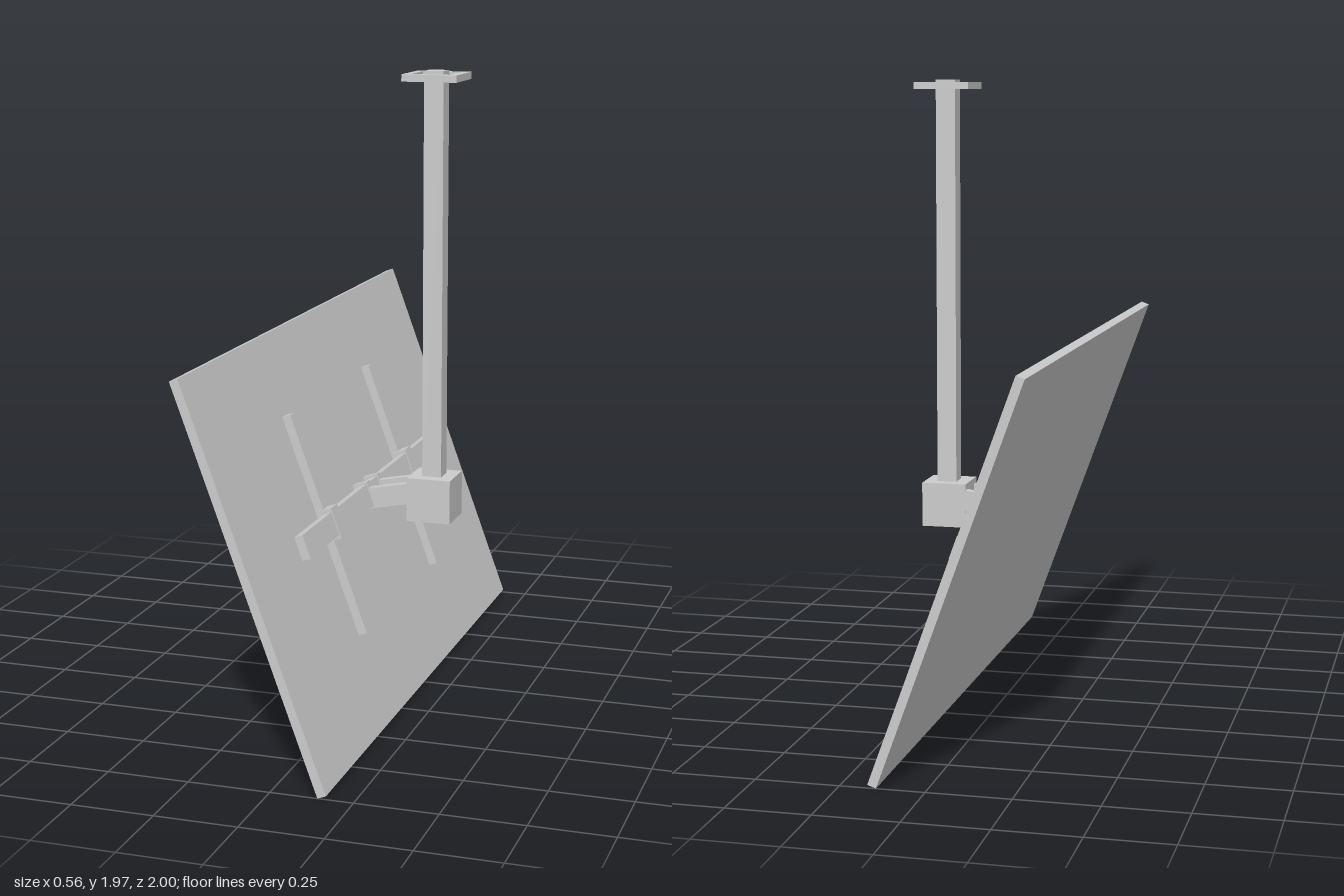
import * as THREE from 'three';

const material = new THREE.MeshStandardMaterial({ color: 0xcccccc, flatShading: true });
const TILT = THREE.MathUtils.degToRad(20);

// Box given by its [min, max] extent on each axis
function block(parent, name, [x0, x1], [y0, y1], [z0, z1]) {
  const mesh = new THREE.Mesh(new THREE.BoxGeometry(x1 - x0, y1 - y0, z1 - z0), material);
  mesh.position.set((x0 + x1) / 2, (y0 + y1) / 2, (z0 + z1) / 2);
  mesh.name = name;
  parent.add(mesh);
  return mesh;
}

const around = (centre, size) => [centre - size / 2, centre + size / 2];

export function createModel() {
  const model = new THREE.Group();
  model.name = 'ceilingScreenMount';

  // Ceiling pole and the joint box at its foot
  const poleX = 0.191;
  block(model, 'pole', around(poleX, 0.062), [0.65, 1.97], [-0.031, 0.031]);
  block(model, 'jointBox', around(poleX, 0.142), [0.558, 0.698], [-0.071, 0.071]);

  // Ceiling plate: thin base with a raised rim around a shallow recess
  block(model, 'ceilingPlate', around(poleX, 0.173), [1.94, 1.951], [-0.0865, 0.0865]);
  const square = (path, h) => path.moveTo(-h, -h).lineTo(h, -h).lineTo(h, h).lineTo(-h, h).closePath();
  const rimShape = square(new THREE.Shape(), 0.0865);
  rimShape.holes.push(square(new THREE.Path(), 0.062));
  const rim = new THREE.Mesh(
    new THREE.ExtrudeGeometry(rimShape, { depth: 0.011, bevelEnabled: false }), material);
  rim.name = 'ceilingPlateRim';
  rim.rotation.x = -Math.PI / 2;
  rim.position.set(poleX, 1.951, 0);
  model.add(rim);

  // Everything that leans with the screen: local x is the screen normal
  const tilted = new THREE.Group();
  tilted.name = 'tiltedScreen';
  tilted.rotation.z = TILT;
  model.add(tilted);

  block(tilted, 'screen', [0.1345, 0.1615], around(0.576, 1.248), [-1, 1]);
  block(tilted, 'crossBar', [0.1885, 0.2155], [0.557, 0.631], [-0.69, 0.673]);

  for (const side of [-1, 1]) {
    // Upright rails on the back of the screen, clamped to the cross bar
    const railZ = around(side * 0.384, 0.034);
    block(tilted, 'rail', [0.1615, 0.1885], [0.239, 0.949], railZ);
    block(tilted, 'railClamp', [0.17, 0.2185], [0.545, 0.643], around(side * 0.384, 0.056));

    // Support arms from the joint box, each hooked behind the cross bar
    const armZ = around(side * 0.053, 0.028);
    block(tilted, 'armHook', [0.168, 0.2185], [0.55, 0.638], armZ);
    const arm = block(model, 'arm', [-0.015, 0.175], [0.604, 0.67], armZ);
    arm.rotation.z = THREE.MathUtils.degToRad(11);
  }

  return model;
}
